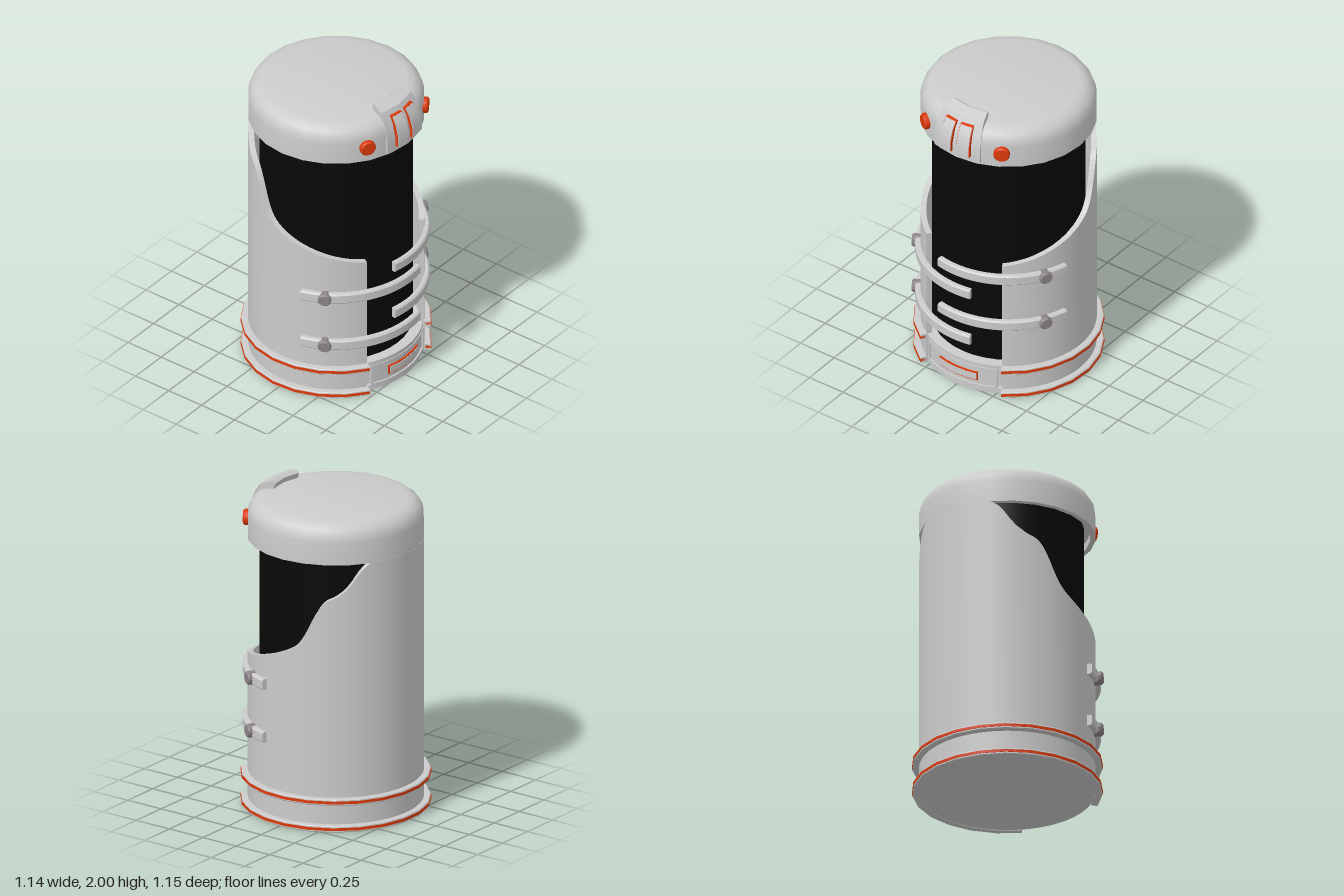
import * as THREE from 'three';
import { toCreasedNormals } from 'three/addons/utils/BufferGeometryUtils.js';

const material = (color) => new THREE.MeshStandardMaterial({ color });
const grey = material(0xcccccc);
const black = material(0x080808);
const orange = material(0xdd3a0a);
const boltGrey = material(0x8c8488);
const deg = Math.PI / 180;

// Sweeps a closed (radius, y) outline around the y axis; angles in degrees from +x towards +z.
// The outline may be a function of the angle.
function sweep(outline, from, to, segments, crease = 0.6) {
  const at = typeof outline === 'function' ? outline : () => outline;
  const sections = [];
  for (let i = 0; i <= segments; i++) {
    const a = (from + ((to - from) * i) / segments) * deg;
    sections.push(at(a).map(([r, y]) => [r * Math.cos(a), y, r * Math.sin(a)]));
  }
  const pos = [];
  const tri = (...corners) => corners.forEach((c) => pos.push(...c));
  const n = sections[0].length;
  for (let i = 0; i < segments; i++) {
    const A = sections[i], B = sections[i + 1];
    for (let j = 0; j < n; j++) {
      const k = (j + 1) % n;
      tri(A[j], A[k], B[k]);
      tri(A[j], B[k], B[j]);
    }
  }
  // end faces
  const ends = [[from, sections[0], true], [to, sections[segments], false]];
  for (const [angle, s, flip] of ends) {
    const flat = at(angle * deg).map(([r, y]) => new THREE.Vector2(r, y));
    for (const [a, b, c] of THREE.ShapeUtils.triangulateShape(flat, [])) {
      if (flip) tri(s[a], s[c], s[b]);
      else tri(s[a], s[b], s[c]);
    }
  }
  const g = new THREE.BufferGeometry();
  g.setAttribute('position', new THREE.Float32BufferAttribute(pos, 3));
  return toCreasedNormals(g, crease);
}

// Counter-clockwise rectangle with optional bevelled outer corners
const rect = (r0, r1, y0, y1, b = 0) => b
  ? [[r0, y0], [r1 - b, y0], [r1, y0 + b], [r1, y1 - b], [r1 - b, y1], [r0, y1]]
  : [[r0, y0], [r1, y0], [r1, y1], [r0, y1]];

const lathe = (points, segments) => toCreasedNormals(
  new THREE.LatheGeometry(points.map(([r, y]) => new THREE.Vector2(r, y)), segments), 0.6);

// Height of the shell's cut edge as a function of x
const cutEdge = [
  [-0.46, 1.70], [-0.44, 1.675], [-0.42, 1.64], [-0.39, 1.575], [-0.36, 1.53], [-0.32, 1.492],
  [-0.27, 1.465], [-0.24, 1.435], [-0.2, 1.36], [-0.17, 1.29], [-0.14, 1.23], [-0.11, 1.185],
  [-0.07, 1.15], [0, 1.112], [0.1, 1.07], [0.2, 1.035], [0.32, 0.995], [0.45, 0.955],
];
function cutHeight(x) {
  if (x <= cutEdge[0][0]) return cutEdge[0][1];
  for (let i = 1; i < cutEdge.length; i++) {
    const [x0, y0] = cutEdge[i - 1], [x1, y1] = cutEdge[i];
    if (x <= x1) return y0 + ((y1 - y0) * (x - x0)) / (x1 - x0);
  }
  return cutEdge[cutEdge.length - 1][1];
}

export function createModel() {
  const model = new THREE.Group();
  const add = (name, geometry, mat = grey) => {
    const mesh = new THREE.Mesh(geometry, mat);
    mesh.name = name;
    model.add(mesh);
    return mesh;
  };
  // Round stud standing out radially at an angle
  const stud = (name, radius, r0, r1, angle, y, sides, mat) => {
    const shape = [[0, r0], [radius, r0], [radius, r1 - 0.01], [radius - 0.008, r1], [0, r1]];
    const mesh = add(name, lathe(shape, sides), mat);
    mesh.rotation.set(0, -angle * deg, -Math.PI / 2, 'YXZ');
    mesh.position.y = y;
  };

  // Dark inner cylinder
  const core = add('core', new THREE.CylinderGeometry(0.46, 0.46, 1.6, 40), black);
  core.position.y = 0.98;

  // Base drum with flanges
  add('base', lathe([[0, 0.008], [0.525, 0.008], [0.525, 0.04], [0.5, 0.04], [0.5, 0.178],
    [0.525, 0.178], [0.525, 0.21], [0.44, 0.21], [0, 0.21]], 40));

  // Cut-away outer shell, open towards +x
  add('shell', sweep((a) => rect(0.495, 0.53, 0.03, cutHeight(0.53 * Math.cos(a))), 32, 328, 120));

  // Base rings with coloured stripes
  for (const y of [0.025, 0.195]) {
    add('baseRing', sweep(rect(0.527, 0.572, y - 0.02, y + 0.02, 0.005), 31.6, 328.4, 19));
    add('baseRingStripe', sweep(rect(0.54, 0.575, y - 0.008, y + 0.009), 31.6, 328.4, 19), orange);
  }

  // Base panel with raised label plate
  add('basePanel', sweep(rect(0.49, 0.52, 0.04, 0.185, 0.004), -29, 29, 6));
  for (const [y0, y1] of [[0.04, 0.052], [0.173, 0.185]]) {
    add('panelFrame', sweep(rect(0.5, 0.53, y0, y1), -29, 29, 6));
  }
  for (const a of [-28.2, 28.2]) {
    add('panelFrame', sweep(rect(0.5, 0.53, 0.04, 0.185), a - 0.8, a + 0.8, 1));
  }
  add('labelEdge', sweep(rect(0.5, 0.53, 0.082, 0.14), -15.5, 15.5, 4), orange);
  add('labelPlate', sweep(rect(0.5, 0.534, 0.089, 0.133), -14.8, 14.8, 4));

  // Straps reaching over the opening, alternating from both sides, each with a bolt
  for (const side of [1, -1]) {
    for (const y of side > 0 ? [0.385, 0.725] : [0.53, 0.868]) {
      const end = side > 0 ? -11.5 : 13;
      add('strap', sweep(rect(0.53, 0.562, y - 0.034, y + 0.034, 0.009),
        Math.min(75 * side, end), Math.max(75 * side, end), 18));
      stud('strapBolt', 0.042, 0.53, 0.583, 59.5 * side, y, 10, boltGrey);
    }
  }

  // Lid
  add('lid', lathe([[0.44, 1.75], [0.5, 1.75], [0.5, 1.7], [0.532, 1.7], [0.532, 1.84],
    [0.525, 1.88], [0.505, 1.915], [0.47, 1.94], [0.43, 1.949], [0, 1.951]], 24));

  // Lid knobs
  for (const side of [1, -1]) stud('lidKnob', 0.05, 0.48, 0.558, 31.8 * side, 1.8, 14, orange);

  // Latch wrapped over the lid's edge
  add('latch', sweep([[0.51, 1.715], [0.547, 1.715], [0.547, 1.81], [0.525, 1.895], [0.478, 1.975],
    [0.405, 2.0], [0.383, 1.985], [0.4, 1.94], [0.45, 1.92], [0.49, 1.87]], -18, 18, 2, 0.3));

  // Twin latch plates with coloured edges
  const plate = (d, t) => [[0.5, 1.75 + t], [0.56 + d, 1.75 + t], [0.56 + d, 1.815],
    [0.538 + d, 1.892], [0.507 + d, 1.945 - t], [0.46, 1.945 - t]];
  for (const side of [1, -1]) {
    const span = (a, b) => (side > 0 ? [a, b] : [-b, -a]);
    add('latchPlateEdge', sweep(plate(0, 0), ...span(1.8, 11.4), 2, 0.3), orange);
    add('latchPlate', sweep(plate(0.006, 0.005), ...span(2.3, 10.9), 2, 0.3));
  }
  return model;
}
